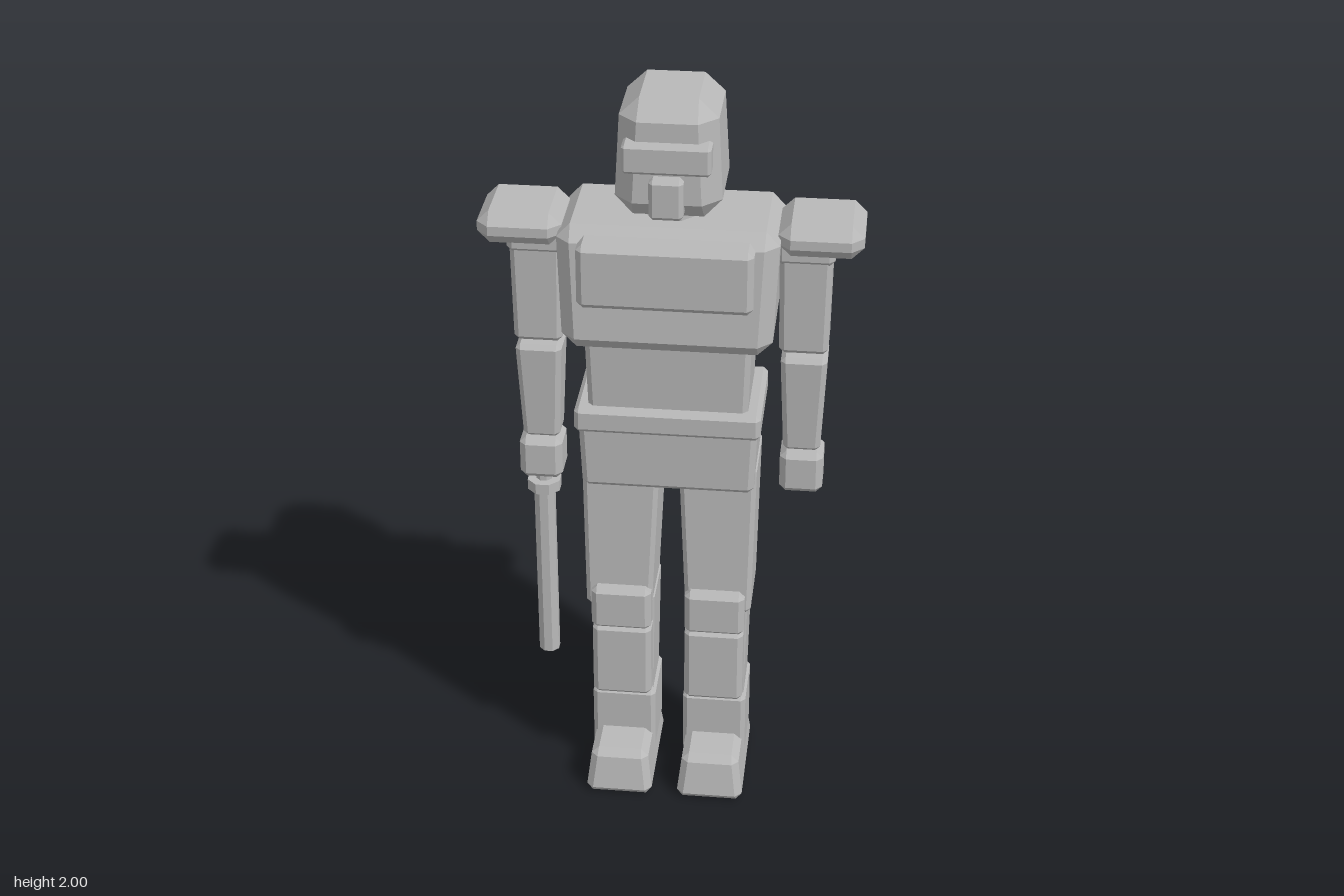
import * as THREE from 'three';
import { ConvexGeometry } from 'three/addons/geometries/ConvexGeometry.js';

const grey = new THREE.MeshStandardMaterial({ color: 0xb8b8b8, flatShading: true });
grey.name = 'plain grey';

// Chamfered, optionally tapered block. Rectangles are [x0, x1, z0, z1].
function block(name, y0, y1, bottom, bevel, top = bottom) {
  const points = [];
  for (const sx of [0, 1]) for (const sy of [0, 1]) for (const sz of [0, 1]) {
    // each corner becomes three points, one lying on each adjoining face
    for (let axis = 0; axis < 3; axis++) {
      const inset = (a) => (a === axis ? 0 : bevel);
      const y = sy ? y1 - inset(1) : y0 + inset(1);
      const t = (y - y0) / (y1 - y0);
      const r = bottom.map((v, i) => v + (top[i] - v) * t);
      const x = sx ? r[1] - inset(0) : r[0] + inset(0);
      const z = sz ? r[3] - inset(2) : r[2] + inset(2);
      points.push(new THREE.Vector3(x, y, z));
    }
  }
  const mesh = new THREE.Mesh(new ConvexGeometry(points), grey);
  mesh.name = name;
  return mesh;
}

// Upright faceted rod between two heights
function rod(name, radius, y0, y1, x, z, sides = 8) {
  const geometry = new THREE.CylinderGeometry(radius, radius, y1 - y0, sides);
  geometry.rotateY(Math.PI / sides);
  const mesh = new THREE.Mesh(geometry, grey);
  mesh.position.set(x, (y0 + y1) / 2, z);
  mesh.name = name;
  return mesh;
}

function createHead() {
  const head = new THREE.Group();
  head.name = 'head';
  head.add(
    block('helmet', 1.70, 2.0, [-0.134, 0.134, -0.19, 0.1], 0.047, [-0.118, 0.118, -0.175, 0.087]),
    block('visor', 1.83, 1.905, [-0.108, 0.108, 0.05, 0.118], 0.008),
    block('mouthGuard', 1.715, 1.82, [-0.042, 0.042, 0.05, 0.126], 0.01),
    rod('neck', 0.077, 1.64, 1.76, 0, -0.04),
  );
  return head;
}

function createBody() {
  const body = new THREE.Group();
  body.name = 'body';
  body.add(
    block('chest', 1.35, 1.675, [-0.262, 0.262, -0.183, 0.135], 0.036, [-0.276, 0.276, -0.196, 0.108]),
    block('chestPlate', 1.485, 1.655, [-0.217, 0.217, 0.08, 0.162], 0.015),
    block('abdomen', 1.13, 1.36, [-0.203, 0.203, -0.155, 0.08], 0.014, [-0.21, 0.21, -0.162, 0.085]),
    block('belt', 1.10, 1.17, [-0.238, 0.238, -0.18, 0.105], 0.012),
    block('pelvis', 0.93, 1.13, [-0.222, 0.222, -0.162, 0.087], 0.015, [-0.23, 0.23, -0.165, 0.09]),
  );
  return body;
}

// Limbs are laid out on the +x side and mirrored through this helper
function sided(side) {
  const flip = ([x0, x1, z0, z1]) => (side > 0 ? [x0, x1, z0, z1] : [-x1, -x0, z0, z1]);
  return (name, y0, y1, bottom, bevel, top = bottom) =>
    block(name, y0, y1, flip(bottom), bevel, flip(top));
}

function createArm(side) {
  const arm = new THREE.Group();
  arm.name = side > 0 ? 'leftArm' : 'rightArm';
  const part = sided(side);
  arm.add(
    part('shoulderPad', 1.595, 1.682, [0.267, 0.478, -0.15, 0.065], 0.031),
    part('shoulderJoint', 1.565, 1.65, [0.262, 0.408, -0.12, 0.035], 0.015),
    part('upperArm', 1.315, 1.59, [0.275, 0.398, -0.103, 0.025], 0.013, [0.27, 0.402, -0.105, 0.027]),
    part('forearm', 1.022, 1.30, [0.291, 0.386, -0.085, 0.008], 0.013, [0.279, 0.398, -0.1, 0.022]),
    part('hand', 0.905, 1.025, [0.284, 0.396, -0.087, 0.026], 0.017),
  );
  return arm;
}

function createLeg(side) {
  const leg = new THREE.Group();
  leg.name = side > 0 ? 'leftLeg' : 'rightLeg';
  const part = sided(side);
  leg.add(
    part('thigh', 0.545, 0.985, [0.045, 0.22, -0.14, 0.07], 0.012, [0.025, 0.228, -0.157, 0.05]),
    part('shin', 0.24, 0.57, [0.046, 0.203, -0.122, 0.035], 0.012, [0.04, 0.21, -0.135, 0.045]),
    part('boot', 0.06, 0.255, [0.038, 0.21, -0.133, 0.055], 0.012),
    part('foot', 0, 0.13, [0.033, 0.216, -0.152, 0.193], 0.018, [0.048, 0.2, -0.12, 0.168]),
    part('kneePad', 0.485, 0.615, [0.045, 0.205, 0.03, 0.096], 0.015),
    part('shinPad', 0.27, 0.495, [0.045, 0.203, 0.02, 0.095], 0.014),
  );
  return leg;
}

function createBaton() {
  const baton = new THREE.Group();
  baton.name = 'baton';
  baton.add(
    rod('grip', 0.022, 0.86, 1.03, -0.34, -0.03),
    rod('guard', 0.046, 0.85, 0.88, -0.34, -0.03),
    rod('shaft', 0.029, 0.33, 0.86, -0.34, -0.03),
  );
  return baton;
}

export function createModel() {
  const model = new THREE.Group();
  model.name = 'armouredFigure';
  model.add(createHead(), createBody(), createBaton());
  for (const side of [-1, 1]) model.add(createArm(side), createLeg(side));
  return model;
}
